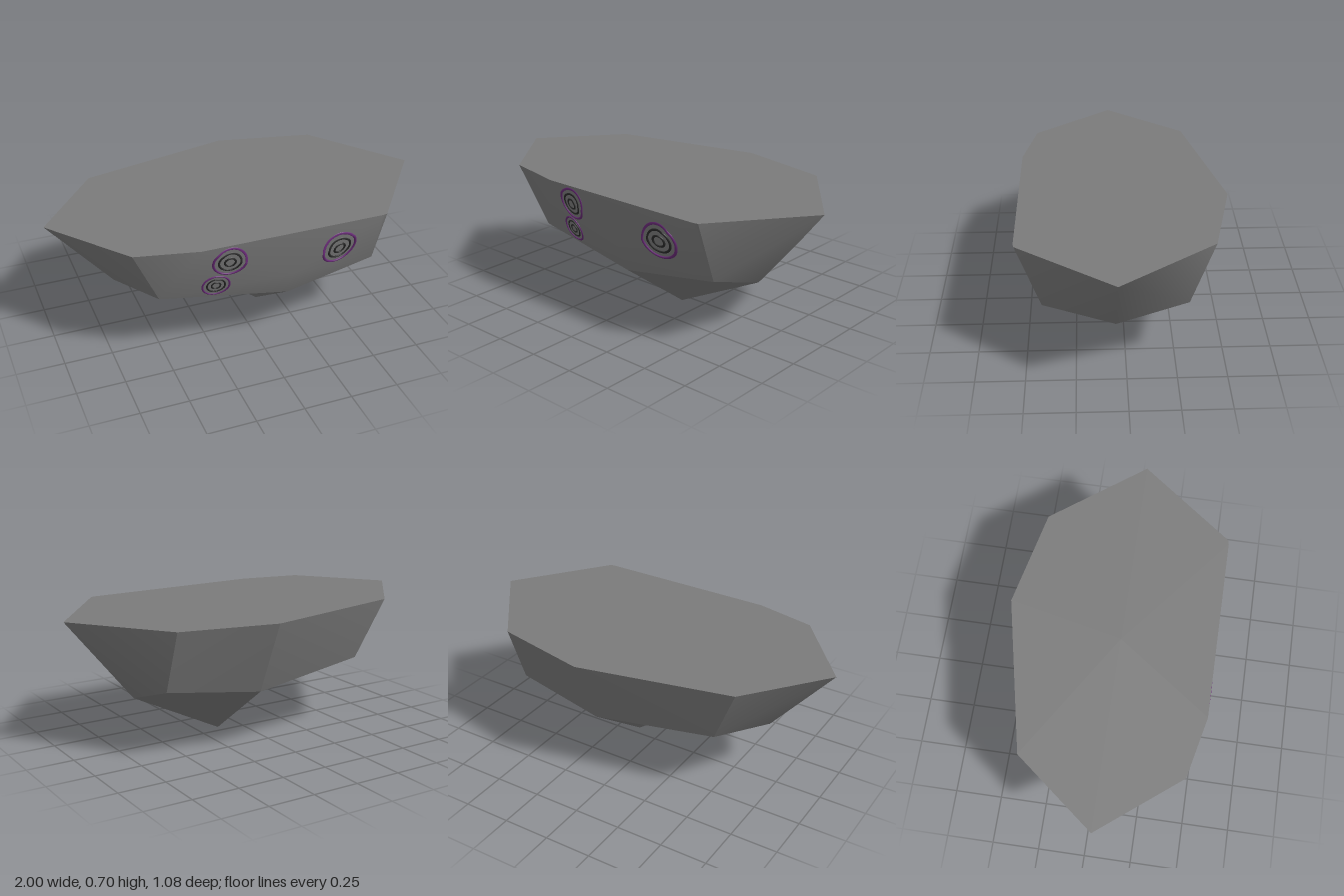
import * as THREE from 'three';
import { mergeVertices } from 'three/addons/utils/BufferGeometryUtils.js';

const MID = 0.05;        // z of the hull's ridge line
const FRONT = 0.535;     // z of the planed-off front
const TOP = 0.697;

// Corner points of one half; z is the distance out from the ridge line
const [a0, a1, a2, a3, a4] = [[1, TOP, 0], [0.635, TOP, 0.48], [0.13, TOP, 0.59], [-0.67, TOP, 0.415], [-1, TOP, 0]];
const [b0, b1, b2, b3, b4] = [[0.635, 0.25, 0], [0.635, 0.37, 0.36], [0.13, 0.31, 0.42], [-0.53, 0.38, 0.35], [-0.67, 0.31, 0]];
const keel = [0.13, 0, 0];
const notch = [-0.15, 0.21, 0];

// Point between p and q where the front plane cuts the line
function cut(p, q) {
  const t = (FRONT - MID - p[2]) / (q[2] - p[2]);
  return p.map((v, i) => v + (q[i] - v) * t);
}
const [c1, c2, c3] = [cut(a1, a2), cut(b2, a2), cut(a3, a2)];

// Triangles moved to the front (side 1) or mirrored to the back (side -1)
function place(tris, side) {
  return tris
    .flatMap((t) => (side > 0 ? t : [...t].reverse()))
    .flatMap(([x, y, z]) => [x, y, MID + side * z]);
}

// Triangles of the flat top between the middle and a stretch of rim
function fan(path) {
  return path.slice(1).map((p, i) => [[0, TOP, 0], p, path[i]]);
}

export function createModel() {
  const group = new THREE.Group();
  const grey = new THREE.MeshStandardMaterial({ color: 0x7b7b7b });

  // One hull panel: smooth inside, with sharp borders
  const addPanel = (name, positions) => {
    const geo = new THREE.BufferGeometry();
    geo.setAttribute('position', new THREE.Float32BufferAttribute(positions, 3));
    const smooth = mergeVertices(geo);
    smooth.computeVertexNormals();
    const mesh = new THREE.Mesh(smooth, grey);
    mesh.name = name;
    group.add(mesh);
    return mesh;
  };

  // Flat top
  addPanel('top', [
    ...place(fan([a0, a1, c1, c3, a3, a4]), 1),
    ...place(fan([a0, a1, a2, a3, a4]), -1),
  ]);

  // Pointed ends, each wrapping round the ridge
  const rightHalf = [[a0, a1, b1], [a0, b1, b0]];
  const leftHalf = [[a3, a4, b3], [a4, b4, b3]];
  addPanel('leftEnd', [...place(rightHalf, 1), ...place(rightHalf, -1)]);
  addPanel('rightEnd', [...place(leftHalf, 1), ...place(leftHalf, -1)]);

  // Long walls: planed front, two-part back
  const frontWall = addPanel('frontWall', place([
    [a1, c1, b1], [c1, c2, b1], [b1, c2, b2], [c1, c3, c2],
    [c3, a3, b3], [c3, b3, c2], [c2, b3, b2],
  ], 1));
  addPanel('backWallLeft', place([[a1, a2, b1], [b1, a2, b2]], -1));
  addPanel('backWallRight', place([[a2, a3, b3], [a2, b3, b2]], -1));

  // Underside
  for (const side of [1, -1]) {
    const end = side > 0 ? 'Front' : 'Back';
    addPanel('undersideLeft' + end, place([[b0, b1, keel], [b1, b2, keel]], side));
    addPanel('undersideRight' + end, place([[b2, notch, keel], [b2, b3, notch], [b3, b4, notch]], side));
  }

  // Depth of the front wall at a point
  const ray = new THREE.Raycaster();
  const wallZ = (x, y) => {
    ray.set(new THREE.Vector3(x, y, 2), new THREE.Vector3(0, 0, -1));
    return ray.intersectObject(frontWall)[0].point.z;
  };

  // Concentric rings draped over the front wall
  const purple = new THREE.MeshStandardMaterial({ color: 0x6a2c78 });
  const dark = new THREE.MeshStandardMaterial({ color: 0x2a2a2a });
  const targets = [
    ['upperRings', -0.203, 0.598, 0.088],
    ['lowerRings', -0.255, 0.436, 0.072],
    ['sideRings', 0.385, 0.545, 0.1],
  ];
  for (const [name, cx, cy, size] of targets) {
    const set = new THREE.Group();
    set.name = name;
    [0.93, 0.62, 0.3].forEach((f, i) => {
      const geo = new THREE.TorusGeometry(size * f, size * (i ? 0.06 : 0.07), 8, 48);
      geo.translate(cx, cy, 0);
      const p = geo.attributes.position;
      for (let k = 0; k < p.count; k++) {
        const z = wallZ(p.getX(k), p.getY(k)) + p.getZ(k);
        p.setZ(k, Math.min(z, FRONT + 0.002));
      }
      geo.computeVertexNormals();
      const ring = new THREE.Mesh(geo, i ? dark : purple);
      ring.name = i ? 'innerRing' : 'outerRing';
      set.add(ring);
    });
    group.add(set);
  }
  return group;
}
